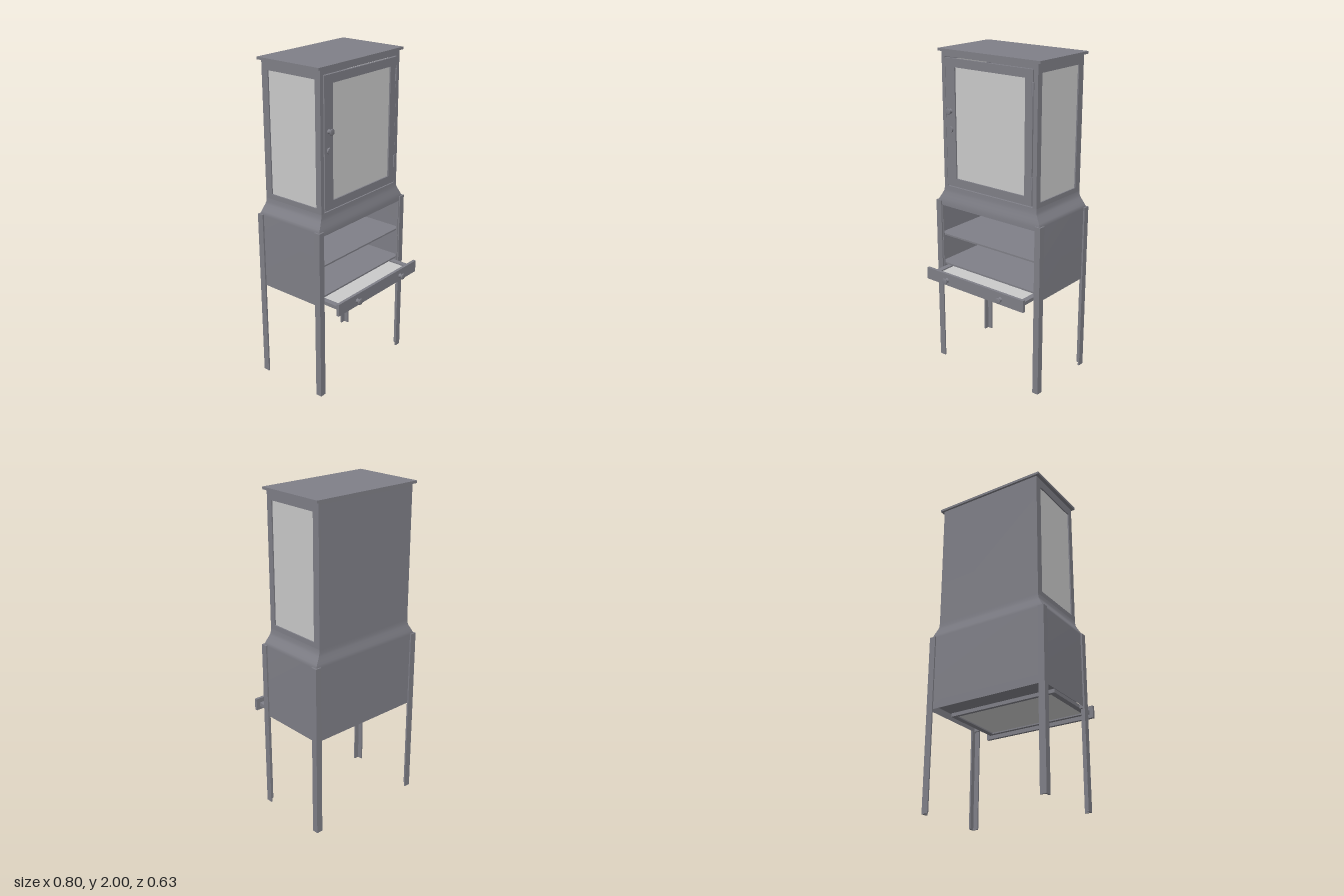
import * as THREE from 'three';

const ZC = -0.077; // centre of the cabinet in depth
const TOP = { x: 0.35, z: 0.214 }; // half sizes of the upper case
const LOW = { x: 0.39, z: 0.232 }; // half sizes of the lower case

export function createModel() {
  const group = new THREE.Group();
  const metal = new THREE.MeshStandardMaterial({ color: 0x7f7f87, side: THREE.DoubleSide });
  metal.name = 'grey metal';
  const glass = new THREE.MeshStandardMaterial({ color: 0xcacaca, side: THREE.DoubleSide });
  glass.name = 'pale glass';

  const add = (name, geometry, material = metal, parent = group) => {
    const mesh = new THREE.Mesh(geometry, material);
    mesh.name = name;
    parent.add(mesh);
    return mesh;
  };
  // box given by its limits on each axis
  const box = (name, x0, x1, y0, y1, z0, z1, material = metal, parent = group) => {
    const mesh = add(name, new THREE.BoxGeometry(x1 - x0, y1 - y0, z1 - z0), material, parent);
    mesh.position.set((x0 + x1) / 2, (y0 + y1) / 2, (z0 + z1) / 2);
    return mesh;
  };
  const rect = (Kind, x0, x1, y0, y1) => {
    const p = new Kind();
    p.moveTo(x0, y0);
    p.lineTo(x1, y0);
    p.lineTo(x1, y1);
    p.lineTo(x0, y1);
    p.closePath();
    return p;
  };
  // flat frame with a rectangular opening
  const frame = (outer, inner, depth) => {
    const shape = rect(THREE.Shape, ...outer);
    shape.holes.push(rect(THREE.Path, ...inner));
    return new THREE.ExtrudeGeometry(shape, { depth, bevelEnabled: false });
  };

  // sheet walls that flare from the upper case to the lower case
  const flare = [[0.61, 1], [1.07, 1], [1.09, 0.8], [1.11, 0.5], [1.13, 0.22], [1.145, 0.06], [1.17, 0]];
  const wall = (name, side, rows) => {
    const pos = [], index = [];
    const corners = {
      front: [[-1, 1], [1, 1]], back: [[1, -1], [-1, -1]],
      left: [[1, 1], [1, -1]], right: [[-1, -1], [-1, 1]],
    }[side];
    rows.forEach(([y, f], i) => {
      const hx = TOP.x + (LOW.x - TOP.x) * f;
      const hz = TOP.z + (LOW.z - TOP.z) * f;
      for (const [sx, sz] of corners) pos.push(sx * hx, y, ZC + sz * hz);
      const a = i * 2;
      if (i < rows.length - 1) index.push(a, a + 1, a + 3, a, a + 3, a + 2);
    });
    const g = new THREE.BufferGeometry();
    g.setAttribute('position', new THREE.Float32BufferAttribute(pos, 3));
    g.setIndex(index);
    g.computeVertexNormals();
    add(name, g);
  };
  wall('leftLowerWall', 'left', flare);
  wall('rightLowerWall', 'right', flare);
  wall('backWall', 'back', [...flare, [1.985, 0]]);
  wall('frontShoulder', 'front', [[1.045, 1], ...flare.slice(1)]);

  // lower compartment: front stiles, shelves and ceiling
  const zFront = ZC + LOW.z, zBack = ZC - LOW.z;
  for (const s of [-1, 1]) {
    const stile = box('frontStile', 0.355, 0.389, 0.61, 1.046, zFront - 0.01, zFront);
    stile.position.x *= s;
  }
  box('middleShelf', -0.385, 0.385, 0.845, 0.855, zBack + 0.002, zFront - 0.011);
  box('bottomShelf', -0.385, 0.385, 0.65, 0.66, zBack + 0.002, zFront - 0.011);
  box('upperFloor', -0.348, 0.348, 1.16, 1.17, ZC - 0.212, ZC + 0.212);

  // glazed sides of the upper case
  for (const s of [-1, 1]) {
    const side = add('sideFrame', frame(
      [ZC - TOP.z, ZC + TOP.z, 1.165, 1.985], [-0.245, 0.1, 1.2, 1.93], 0.014));
    side.rotation.y = -Math.PI / 2;
    side.position.x = s > 0 ? TOP.x : -TOP.x + 0.014;
    const pane = box('sideGlass', 0.337, 0.342, 1.195, 1.935, -0.25, 0.105, glass);
    pane.position.x *= s;
  }

  // front surround, door and its fittings
  const face = ZC + TOP.z;
  add('doorSurround', frame([-TOP.x, TOP.x, 1.165, 1.985], [-0.325, 0.322, 1.172, 1.956], 0.014))
    .position.z = face - 0.014;
  const door = new THREE.Group();
  door.name = 'door';
  group.add(door);
  add('doorFrame', frame([-0.32, 0.317, 1.18, 1.95], [-0.25, 0.265, 1.23, 1.9], 0.016), metal, door)
    .position.z = face - 0.013;
  box('doorGlass', -0.255, 0.27, 1.225, 1.905, face - 0.012, face - 0.006, glass, door);
  for (const y of [1.315, 1.845]) {
    const hinge = add('hinge', new THREE.CylinderGeometry(0.008, 0.008, 0.075, 16), metal, door);
    hinge.position.set(0.317, y, face + 0.001);
  }

  // turned knob, axis along z
  const knob = (name, x, y, z, r, length, parent) => {
    const profile = [[0.75, 0], [0.5, 0.35], [0.55, 0.5], [1, 0.75], [1, 0.9], [0.85, 1], [0, 1]]
      .map(([a, b]) => new THREE.Vector2(a * r, b * length));
    const mesh = add(name, new THREE.LatheGeometry(profile, 24), metal, parent);
    mesh.rotation.x = Math.PI / 2;
    mesh.position.set(x, y, z);
  };
  knob('doorKnob', -0.285, 1.64, face + 0.002, 0.019, 0.029, door);
  const lock = add('doorLock', new THREE.CylinderGeometry(0.018, 0.018, 0.012, 24), metal, door);
  lock.rotation.x = Math.PI / 2;
  lock.position.set(-0.285, 1.53, face + 0.007);

  // roof slab
  box('roof', -0.371, 0.371, 1.985, 2, -0.305, 0.148);

  // pulled-out drawer with a glass tray
  const drawer = new THREE.Group();
  drawer.name = 'drawer';
  group.add(drawer);
  box('drawerFront', -0.378, 0.378, 0.59, 0.665, 0.268, 0.286, metal, drawer);
  const tray = add('trayFrame', frame([-0.355, 0.355, -0.268, 0.14], [-0.322, 0.322, -0.248, 0.12], 0.022), metal, drawer);
  tray.rotation.x = -Math.PI / 2;
  tray.position.y = 0.614;
  box('trayGlass', -0.324, 0.324, 0.622, 0.628, -0.122, 0.25, glass, drawer);
  for (const x of [-0.21, 0.21]) knob('drawerKnob', x, 0.625, 0.286, 0.019, 0.029, drawer);

  // angle-iron legs wrapped around the lower corners
  for (const sx of [-1, 1]) for (const sz of [-1, 1]) {
    const pts = [[0.4, 0.241], [0.36, 0.241], [0.36, 0.232], [0.39, 0.232], [0.39, 0.202], [0.4, 0.202]]
      .map(([x, z]) => new THREE.Vector2(sx * x, -(ZC + sz * z)));
    const leg = add('leg', new THREE.ExtrudeGeometry(new THREE.Shape(pts), { depth: 1.075, bevelEnabled: false }));
    leg.rotation.x = -Math.PI / 2;
  }
  return group;
}
